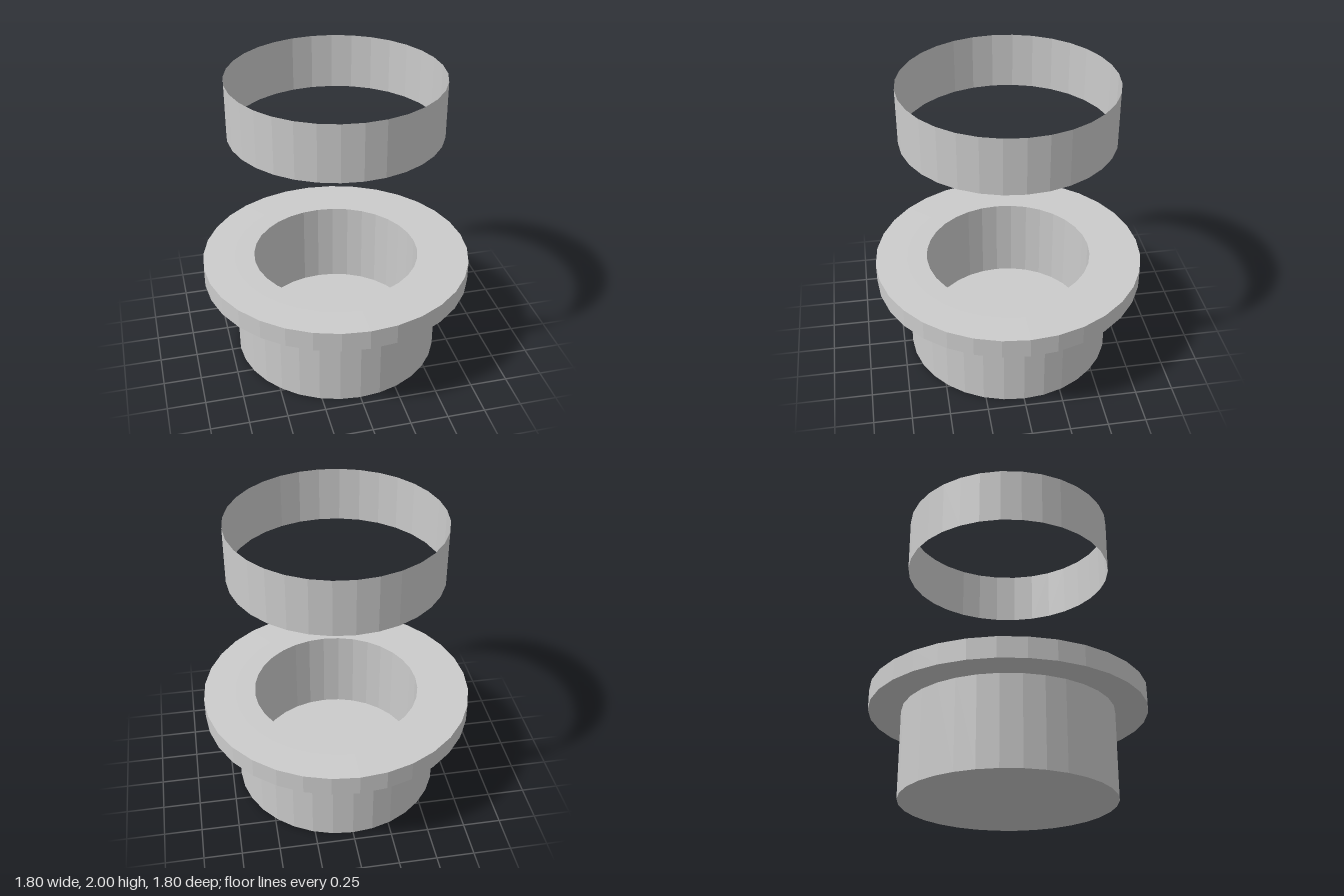
import * as THREE from 'three';

const SIDES = 32;

// Faceted solid or shell of revolution from [radius, height] pairs
function turned(name, profile) {
  const points = profile.map(([r, y]) => new THREE.Vector2(r, y));
  const material = new THREE.MeshStandardMaterial({
    color: 0xcccccc, flatShading: true, side: THREE.DoubleSide,
  });
  const mesh = new THREE.Mesh(new THREE.LatheGeometry(points, SIDES), material);
  mesh.name = name;
  return mesh;
}

export function createModel() {
  const group = new THREE.Group();
  group.name = 'flangedCupAndRing';

  // Cup with a wide flange, a bore and a closed floor
  group.add(turned('flangedCup', [
    [0, 0], [0.69, 0],            // underside
    [0.69, 0.577], [0.9, 0.577],  // outer wall, flange underside
    [0.9, 0.711], [0.69, 0.715],  // flange edge, very slightly sloped top
    [0.555, 0.715],               // flat lip
    [0.555, 0.135], [0, 0.135],   // bore and floor
  ]));

  // Thin open band floating above the cup
  group.add(turned('upperRing', [[0.69, 1.63], [0.69, 2]]));

  return group;
}
